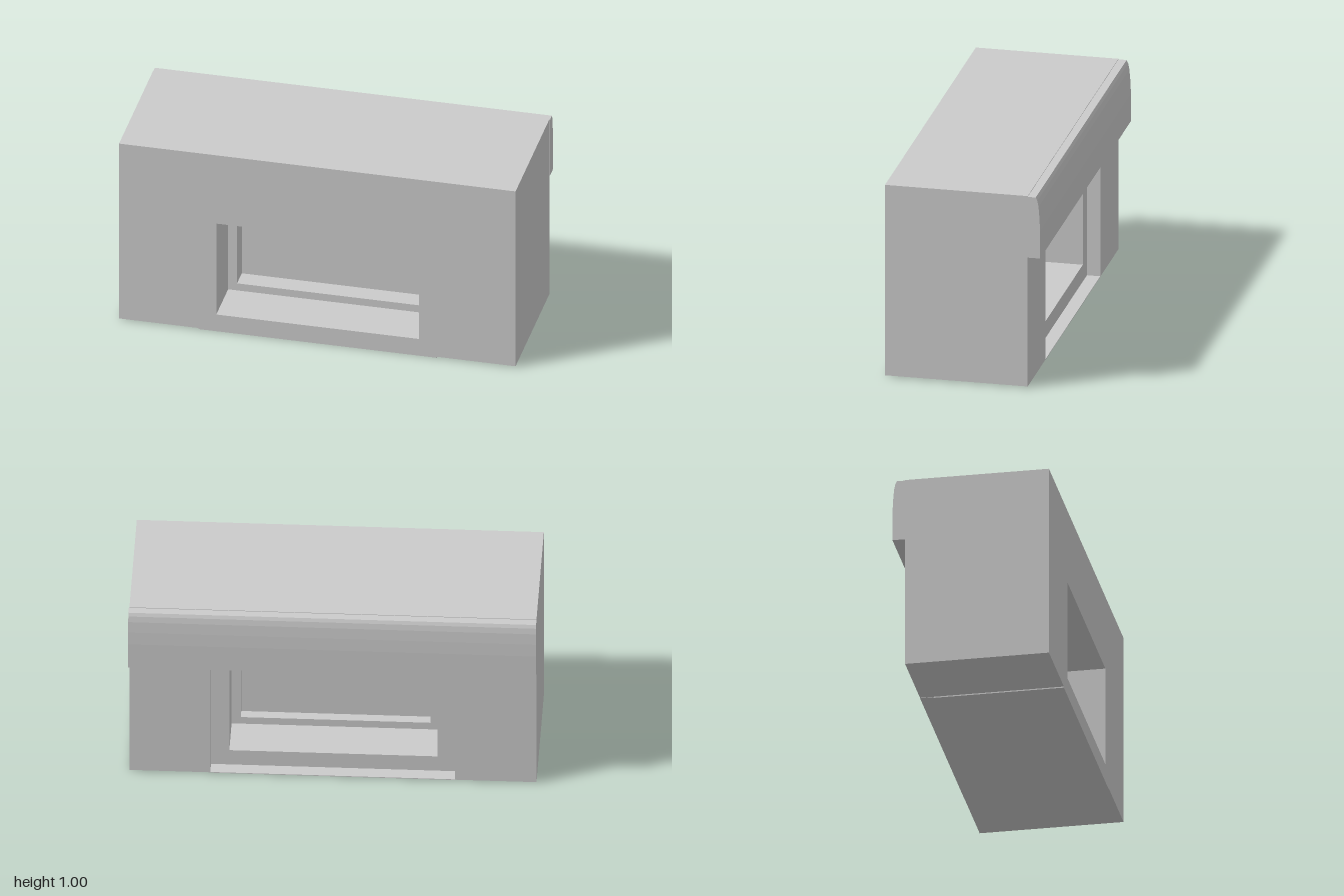
import * as THREE from 'three';

const BACK = -0.327, PANEL_BACK = -0.26, FRONT = 0.39;

// Polygon from [x, y] pairs
const polygon = (pts, Type = THREE.Shape) => new Type(pts.map(([x, y]) => new THREE.Vector2(x, y)));
const rect = (x, y0, y1) => [[-x, y0], [x, y0], [x, y1], [-x, y1]];

export function createModel() {
  const group = new THREE.Group();
  const material = new THREE.MeshStandardMaterial({ color: 0xcccccc, flatShading: true });

  const add = (name, geometry) => {
    const mesh = new THREE.Mesh(geometry, material);
    mesh.name = name;
    group.add(mesh);
    return mesh;
  };
  // Extrudes an outline with an optional hole between two z planes
  const slab = (name, outline, hole, z0, z1) => {
    const shape = polygon(outline);
    if (hole) shape.holes.push(polygon(hole, THREE.Path));
    const geometry = new THREE.ExtrudeGeometry(shape, { depth: z1 - z0, bevelEnabled: false });
    return add(name, geometry.translate(0, 0, z0));
  };

  // Outer wall, an arch-like block around the central panel
  slab('outerWall', [
    [-1, 0.006], [-0.6, 0.006], [-0.6, 0.67], [0.6, 0.67],
    [0.6, 0.006], [0.997, 0.006], [0.997, 1], [-1, 1],
  ], null, BACK, FRONT);

  // Central panel, set back at the rear, with the window opening
  const opening = rect(0.51, 0.095, 0.612);
  slab('windowPanel', rect(0.6, 0, 0.67), opening, PANEL_BACK, FRONT);

  // Thin threshold in the rear recess
  slab('threshold', rect(0.6, 0.004, 0.008), null, BACK, PANEL_BACK);

  // Window frame and pane
  slab('windowFrame', opening, rect(0.465, 0.135, 0.572), -0.04, 0.14);
  slab('windowPane', rect(0.465, 0.135, 0.572), null, 0.01, 0.04);

  // Rounded cornice along the top of the rear: profile is [-z, y], swept along x
  const profile = polygon([
    [0.327, 0.68], [0.39, 0.68], [0.39, 0.82], [0.387, 0.89],
    [0.382, 0.95], [0.376, 0.98], [0.368, 0.997], [0.327, 0.997],
  ]);
  const cornice = new THREE.ExtrudeGeometry(profile, { depth: 2, bevelEnabled: false });
  add('cornice', cornice.rotateY(Math.PI / 2).translate(-1, 0, 0));

  return group;
}
